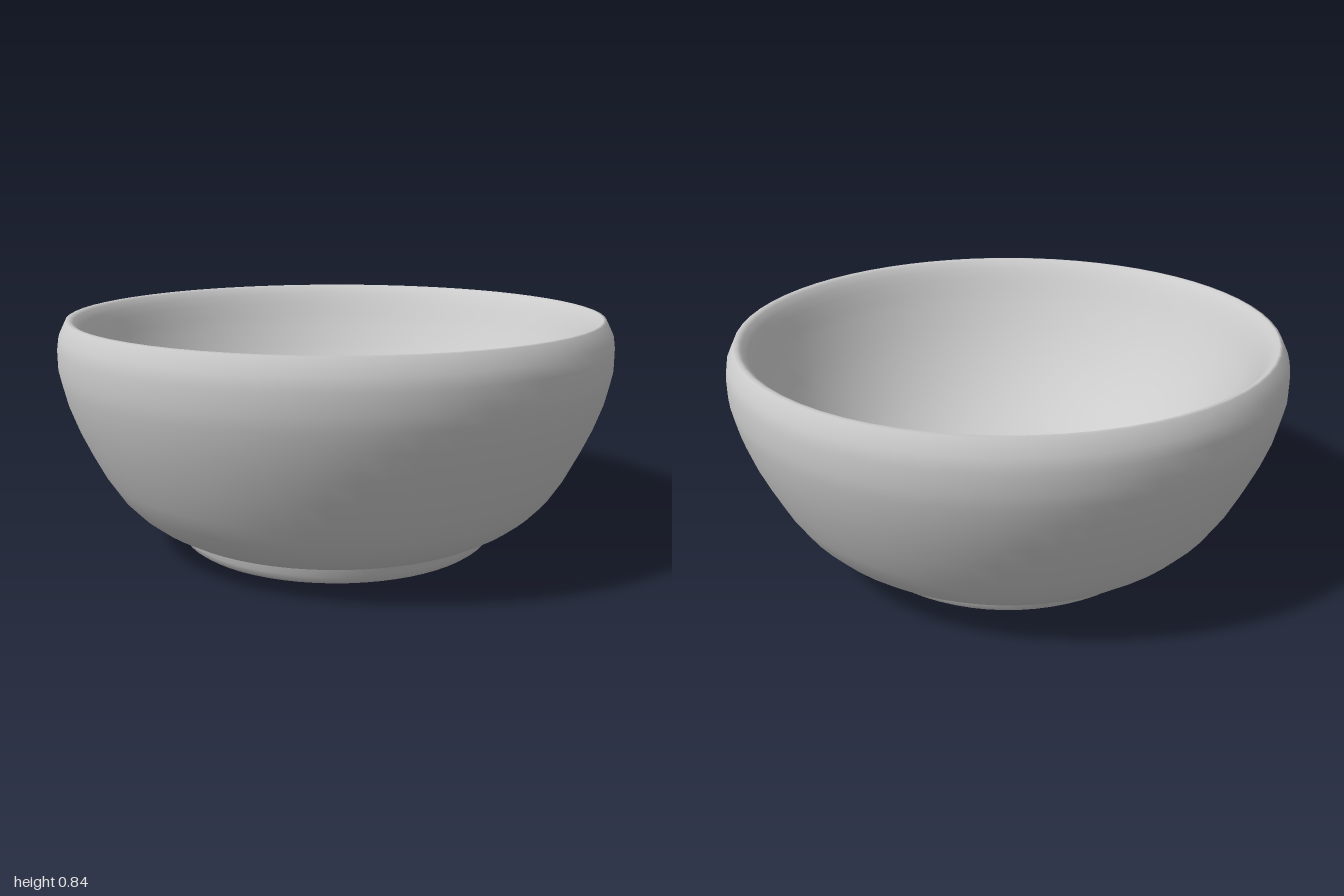
import * as THREE from 'three';

const SEGMENTS = 64;

// Revolve a profile of [radius, height] points around the y axis.
function lathe(name, profile, material) {
  const points = profile.map(([r, y]) => new THREE.Vector2(r, y));
  const mesh = new THREE.Mesh(new THREE.LatheGeometry(points, SEGMENTS), material);
  mesh.name = name;
  return mesh;
}

export function createModel() {
  const group = new THREE.Group();
  group.name = 'bowl';
  const material = new THREE.MeshStandardMaterial({ color: 0xcccccc, side: THREE.DoubleSide });

  // Outer wall, rounded rim, thick sloping inner wall and floor in one profile
  group.add(lathe('bowlBody', [
    [0.59, 0.06], [0.65, 0.083], [0.71, 0.118], [0.76, 0.158], [0.81, 0.212],
    [0.86, 0.29], [0.905, 0.38], [0.943, 0.465], [0.975, 0.555], [0.99, 0.62],
    [1.0, 0.67], [1.0, 0.74], [0.993, 0.785], [0.967, 0.838], [0.955, 0.84],
    [0.94, 0.832], [0.92, 0.805], [0.90, 0.77], [0.875, 0.72], [0.85, 0.672],
    [0.80, 0.588], [0.75, 0.518], [0.70, 0.458], [0.65, 0.406], [0.60, 0.361],
    [0.55, 0.323], [0.50, 0.291], [0.45, 0.264], [0.40, 0.243], [0.30, 0.213],
    [0.20, 0.198], [0.10, 0.192], [0, 0.19],
  ], material));

  // Foot ring, blending smoothly into the recessed underside
  group.add(lathe('foot', [
    [0, 0.07], [0.40, 0.07], [0.44, 0.068], [0.465, 0.06], [0.485, 0.043],
    [0.50, 0.02], [0.512, 0.005], [0.53, 0], [0.565, 0.002], [0.58, 0.013],
    [0.59, 0.035], [0.598, 0.063],
  ], material));

  return group;
}
